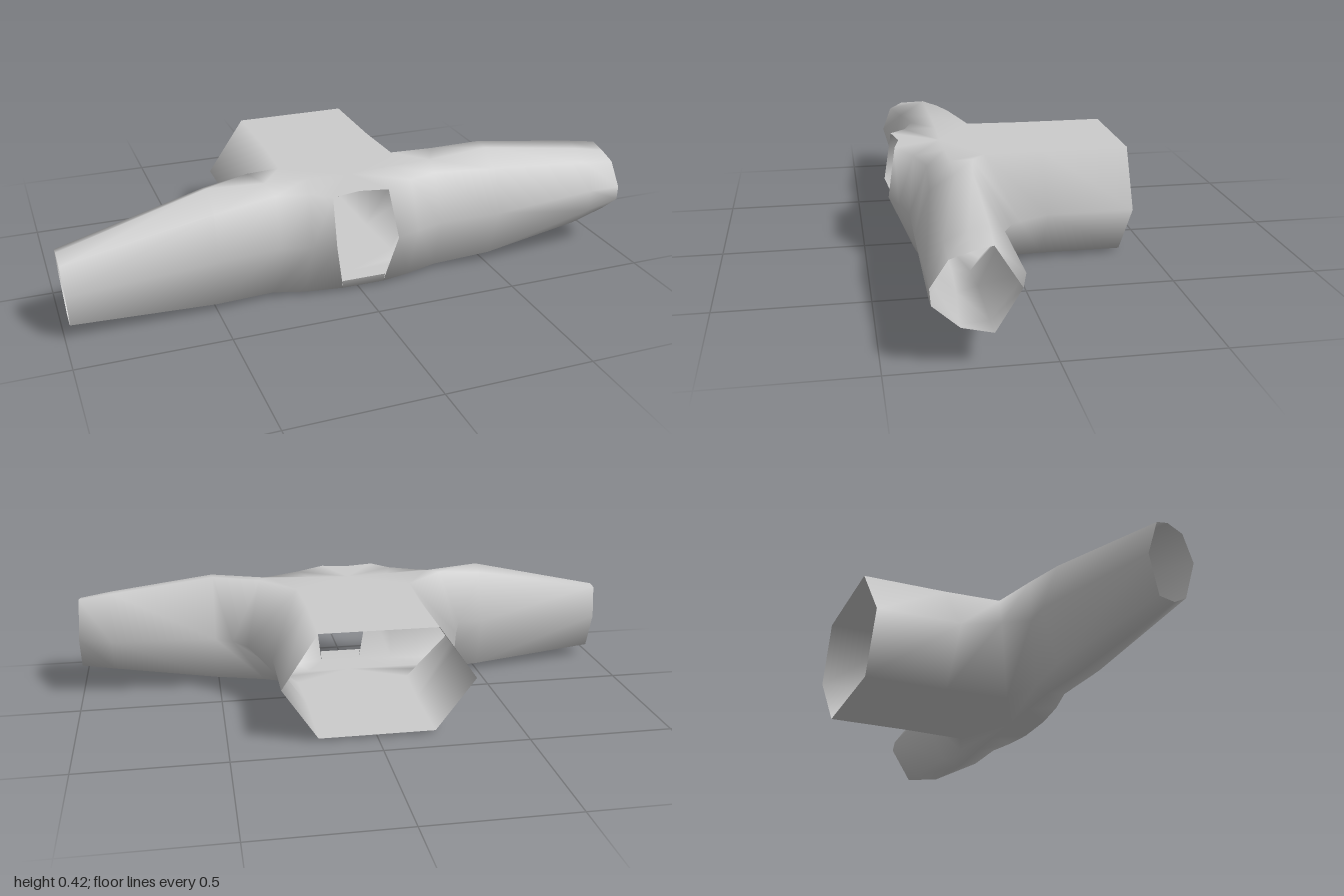
import * as THREE from 'three';

const material = new THREE.MeshStandardMaterial({ color: 0xcccccc, side: THREE.DoubleSide });

// Lofts a thin skin through a list of stations, each a list of [x, y, z] points.
function skin(name, stations, { closed = false, flip = false } = {}) {
  const n = stations[0].length;
  const index = [];
  for (let i = 0; i < stations.length - 1; i++) {
    for (let j = 0; j < (closed ? n : n - 1); j++) {
      const k = (j + 1) % n;
      const a = i * n + j, b = i * n + k, c = a + n, d = b + n;
      if (flip) index.push(a, b, c, b, d, c);
      else index.push(a, c, b, b, c, d);
    }
  }
  const geometry = new THREE.BufferGeometry();
  geometry.setAttribute('position', new THREE.Float32BufferAttribute(stations.flat(2), 3));
  geometry.setIndex(index);
  geometry.computeVertexNormals();
  const mesh = new THREE.Mesh(geometry, material);
  mesh.name = name;
  return mesh;
}

const TOP = 0.39, BOTTOM = 0.015, SEAM = 0.22;

// Arm ring from [y, z] pairs at a given x; slant shifts x with height.
const ring = (x, pairs, slant = 0) => pairs.map(([y, z]) => [x + slant * (y - 0.2), y, z]);

// Order of the ring: top, back shoulder, back tip, back lower, bottom, front lower, front tip, front upper
const sides = {
  left: {
    s: 1, width: 0.322, elbow: [0.4, 0.21, 0], root: [0.45, 0.22, 0.04], gapTop: 0.075, gapMid: 0.105, gapLow: 0.09,
    rings: [
      ring(0.51, [[0.42, 0.23], [0.425, 0.175], [0.22, 0.072], [0.04, 0.16], [0.02, 0.23], [0.04, 0.30], [0.22, 0.36], [0.37, 0.31]]),
      ring(0.88, [[0.37, 0.24], [0.378, 0.18], [0.23, 0.075], [0.09, 0.18], [0.085, 0.27], [0.17, 0.355], [0.25, 0.362], [0.34, 0.31]]),
      ring(0.995, [[0.35, 0.245], [0.362, 0.185], [0.235, 0.105], [0.108, 0.185], [0.13, 0.28], [0.2, 0.36], [0.25, 0.364], [0.33, 0.31]], -0.03),
    ],
  },
  right: {
    s: -1, width: 0.335, elbow: [0.375, 0.21, 0.02], root: [0.41, 0.22, 0.115], gapTop: 0.12, gapMid: 0.115, gapLow: 0.06,
    rings: [
      ring(0.5, [[0.415, 0.23], [0.395, 0.175], [0.22, 0.11], [0.03, 0.16], [0.005, 0.23], [0.03, 0.31], [0.21, 0.36], [0.36, 0.32]]),
      ring(0.99, [[0.295, 0.28], [0.29, 0.243], [0.18, 0.21], [0.05, 0.24], [0.04, 0.29], [0.06, 0.33], [0.18, 0.364], [0.27, 0.33]], 0.07),
    ],
  },
};

function buildSide(name, p) {
  const group = new THREE.Group();
  group.name = name;
  const add = (part, stations, closed) => group.add(skin(part,
    stations.map((st) => st.map(([x, y, z]) => [x * p.s, y, z])), { closed, flip: p.s < 0 }));

  // Back half of the body: top seam, shoulder, tip, lower edge, bottom seam
  const back = [
    [[0, TOP, -0.412], [0.2, TOP, -0.412], [p.width, 0.2, -0.405], [0.2, BOTTOM, -0.395], [0, BOTTOM, -0.395]],
    [[0, TOP, -0.11], [0.2, TOP, -0.11], [p.width, 0.2, -0.11], [0.2, BOTTOM, -0.11], [0, BOTTOM, -0.11]],
    [[0, TOP, SEAM], [0.21, TOP, 0.09], p.elbow, [0.21, BOTTOM, 0.11], [0, BOTTOM, SEAM]],
    [[0.3, 0.4, SEAM], [0.34, 0.412, 0.15], p.root, [0.33, 0.018, 0.16], [0.3, BOTTOM, SEAM]],
  ];
  // Front half of the body, from the front opening to the arm: bottom seam round to top seam
  const front = [
    [[0, BOTTOM, SEAM], [p.gapLow, BOTTOM, 0.325], [p.gapMid, 0.22, 0.413], [p.gapTop, TOP, 0.385], [0, TOP, SEAM]],
    [[0.15, BOTTOM, SEAM], [0.19, 0.017, 0.31], [0.19, 0.22, 0.385], [0.18, 0.387, 0.33], [0.15, 0.395, SEAM]],
    [[0.3, BOTTOM, SEAM], [0.3, 0.022, 0.285], [0.29, 0.22, 0.356], [0.29, 0.382, 0.295], [0.3, 0.4, SEAM]],
  ];
  add('backBody', back);
  add('frontBody', front);

  // Tapering hollow arm, continuing the body's last ring
  add('arm', [[...back[3], ...front[2].slice(1, 4)], ...p.rings], true);
  return group;
}

// Shares normals where parts meet, and keeps the roof and floor flat.
function blendNormals(model) {
  const sums = new Map();
  const visit = (fn) => model.traverse((mesh) => {
    if (!mesh.isMesh) return;
    const { position, normal } = mesh.geometry.attributes;
    for (let i = 0; i < position.count; i++) {
      const v = new THREE.Vector3().fromBufferAttribute(position, i);
      fn(v.toArray().map((c) => Math.round(c * 1e4)).join(), v, normal, i);
    }
  });
  visit((key, v, normal, i) => {
    if (!sums.has(key)) sums.set(key, new THREE.Vector3());
    sums.get(key).add(new THREE.Vector3().fromBufferAttribute(normal, i));
  });
  visit((key, v, normal, i) => {
    const sum = sums.get(key).normalize();
    if (Math.abs(v.y - TOP) < 1e-4) sum.set(0, 1, 0);
    if (Math.abs(v.y - BOTTOM) < 1e-4) sum.set(0, -1, 0);
    normal.setXYZ(i, sum.x, sum.y, sum.z);
  });
}

export function createModel() {
  const model = new THREE.Group();
  model.name = 'hollowJunction';
  for (const [name, p] of Object.entries(sides)) model.add(buildSide(name + 'Half', p));

  // Roof and floor bridging the two halves above and below the front opening
  const { left: l, right: r } = sides;
  const apex = (y) => [0, y, SEAM];
  model.add(skin('openingRoof', [
    [apex(TOP), apex(TOP), apex(TOP)],
    [[-r.gapTop, TOP, 0.385], [-0.02, TOP, 0.365], [l.gapTop, TOP, 0.385]],
  ]));
  model.add(skin('openingFloor', [
    [apex(BOTTOM), apex(BOTTOM)],
    [[l.gapLow, BOTTOM, 0.325], [-r.gapLow, BOTTOM, 0.325]],
    [[l.gapLow, 0.05, 0.34], [-r.gapLow - 0.008, 0.05, 0.34]],
  ]));
  blendNormals(model);
  return model;
}
